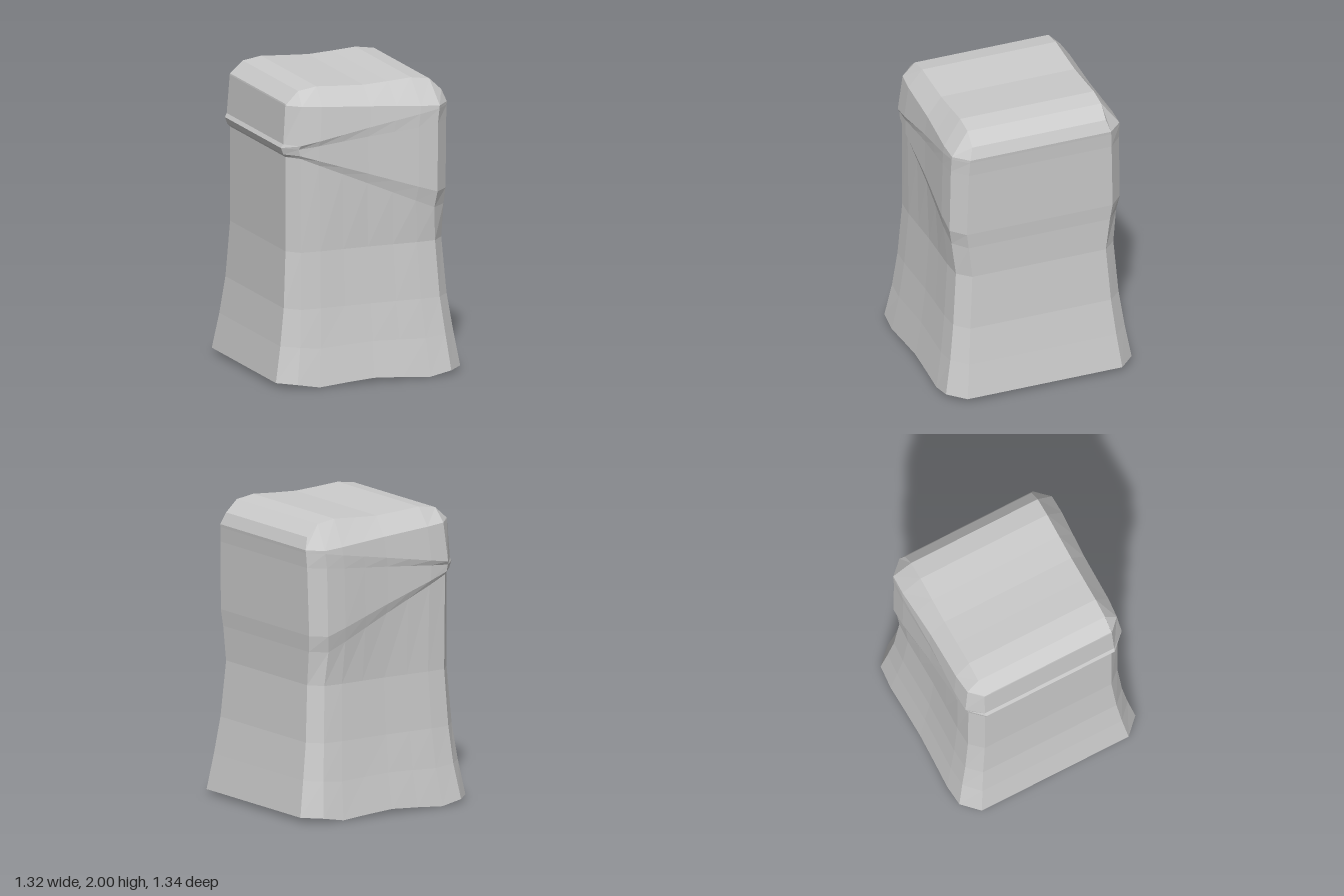
import * as THREE from 'three';

// Cross-section rings from the hem up, each tilted from the -x end to the +x end:
// y, outer x, inner x, face z, corner z for the -x end, then the same for the +x end
const RINGS = [
  [[0.03, 0.66, 0.55, 0.66, 0.55], [0.03, 0.66, 0.55, 0.66, 0.55]],
  [[0.27, 0.617, 0.515, 0.62, 0.523], [0.27, 0.62, 0.525, 0.62, 0.523]],
  [[0.52, 0.583, 0.497, 0.588, 0.5], [0.52, 0.583, 0.497, 0.588, 0.5]],
  [[0.9, 0.56, 0.483, 0.56, 0.475], [0.9, 0.555, 0.475, 0.56, 0.475]],
  [[1.54, 0.56, 0.49, 0.56, 0.475], [1.13, 0.56, 0.46, 0.585, 0.502]], // lower fold
  [[1.56, 0.578, 0.495, 0.572, 0.48], [1.24, 0.568, 0.475, 0.605, 0.518]],
  [[1.605, 0.595, 0.505, 0.572, 0.48], [1.7, 0.577, 0.48, 0.598, 0.507]], // upper fold
  [[1.63, 0.58, 0.497, 0.586, 0.485], [1.8, 0.583, 0.492, 0.597, 0.502]],
  [[1.89, 0.562, 0.477, 0.56, 0.477], [1.82, 0.585, 0.495, 0.595, 0.5]], // shoulder
  [[1.98, 0.56, 0.47, 0.475, 0.475], [1.98, 0.555, 0.47, 0.475, 0.475]], // top rim
];
const STEPS = [-1, -0.72, -0.37, 0, 0.37, 0.72, 1];
const WAVE = [0, 1, 0.45, 0, 0.45, 1, 0];

// Front half of one ring, running from -x to +x
function halfRing([l, r], j) {
  const top = j === RINGS.length - 1;
  const mix = (k, t) => THREE.MathUtils.lerp(l[k], r[k], t);
  const pts = STEPS.map((s, i) => {
    const t = (s + 1) / 2;
    const fade = Math.max(0, 1 - j / 2);
    const dy = top ? 0.02 * WAVE[i] : -0.028 * WAVE[i] * fade;
    const dz = top ? 0 : 0.008 * WAVE[i];
    return [THREE.MathUtils.lerp(-l[2], r[2], t), mix(0, t) + dy, mix(3, t) + dz];
  });
  const drop = top ? 0.08 : 0; // rounded shoulders at both ends of the top
  pts.unshift([-l[1], l[0] - drop, l[4]]);
  pts.push([r[1], r[0] - drop, r[4]]);
  return pts;
}

// Turns quads of corner points into a geometry
function quadGeometry(quads) {
  const pos = [];
  for (const [a, b, c, d] of quads) pos.push(...a, ...b, ...c, ...a, ...c, ...d);
  const geo = new THREE.BufferGeometry();
  geo.setAttribute('position', new THREE.Float32BufferAttribute(pos, 3));
  geo.computeVertexNormals();
  return geo;
}

export function createModel() {
  const group = new THREE.Group();
  group.name = 'drapedCover';
  const material = new THREE.MeshStandardMaterial({
    color: 0xcccccc, flatShading: true, side: THREE.DoubleSide,
  });
  const mirror = ([x, y, z]) => [x, y, -z];
  const halves = RINGS.map(halfRing);
  const rings = halves.map((h) => [...h, ...h.map(mirror).reverse()]);

  // Folded walls with chamfered corners, open at the bottom
  const walls = [];
  for (let j = 0; j < rings.length - 1; j++) {
    const n = rings[j].length;
    for (let i = 0; i < n; i++) {
      const k = (i + 1) % n;
      walls.push([rings[j][i], rings[j][k], rings[j + 1][k], rings[j + 1][i]]);
    }
  }

  // Gently sagging top running from front rim to back rim
  const rim = halves[halves.length - 1];
  const top = rim.slice(1).map((p, i) => [rim[i], p, mirror(p), mirror(rim[i])]);

  for (const [name, quads] of [['walls', walls], ['top', top]]) {
    const mesh = new THREE.Mesh(quadGeometry(quads), material);
    mesh.name = name;
    group.add(mesh);
  }
  return group;
}
